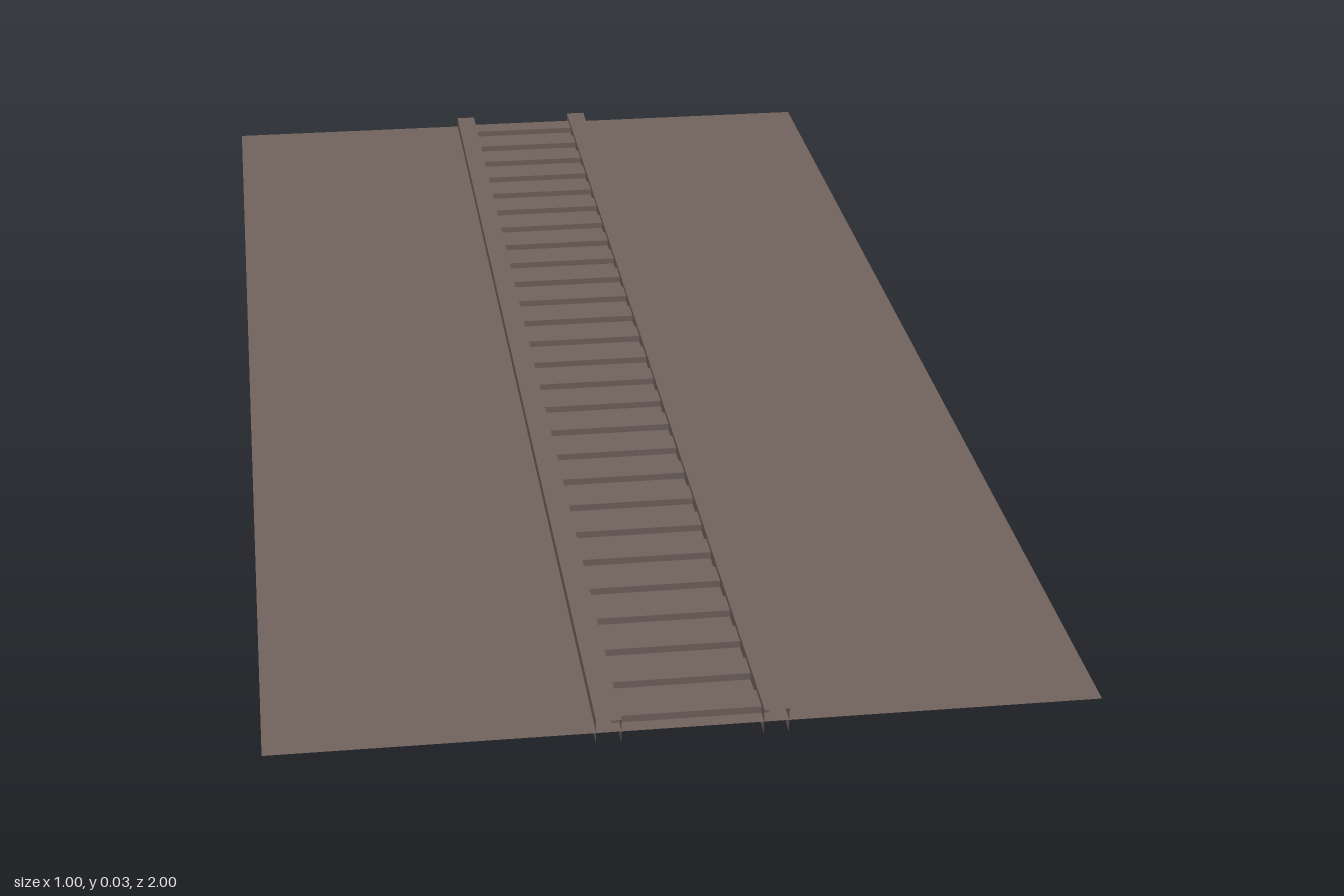
import * as THREE from 'three';

export function createModel() {
  const group = new THREE.Group();
  const brown = new THREE.MeshStandardMaterial({ color: 0x70625c, side: THREE.DoubleSide });
  brown.name = 'dull brown';

  const LENGTH = 2, HEIGHT = 0.032, RAIL_WIDTH = 0.03, CENTRE = 0.005, GAUGE = 0.2;

  function add(parent, name, geometry, x, y, z) {
    const mesh = new THREE.Mesh(geometry, brown);
    mesh.name = name;
    mesh.position.set(x, y, z);
    parent.add(mesh);
    return mesh;
  }

  // Flat track bed
  const bed = new THREE.PlaneGeometry(1, LENGTH).rotateX(-Math.PI / 2);
  add(group, 'trackBed', bed, 0, HEIGHT / 2, 0);

  // Rails: hollow channels, open at the ends and underneath
  const railTop = new THREE.PlaneGeometry(RAIL_WIDTH, LENGTH).rotateX(-Math.PI / 2);
  const railWall = new THREE.PlaneGeometry(LENGTH, HEIGHT).rotateY(Math.PI / 2);
  for (const side of [-1, 1]) {
    const rail = new THREE.Group();
    rail.name = side > 0 ? 'leftRail' : 'rightRail';
    rail.position.x = CENTRE + side * GAUGE / 2;
    add(rail, 'railTop', railTop, 0, HEIGHT, 0);
    add(rail, 'railWallLeft', railWall, RAIL_WIDTH / 2, HEIGHT / 2, 0);
    add(rail, 'railWallRight', railWall, -RAIL_WIDTH / 2, HEIGHT / 2, 0).rotation.y = Math.PI;
    group.add(rail);
  }

  // Sleepers evenly spaced between the rails
  const sleepers = new THREE.Group();
  sleepers.name = 'sleepers';
  const count = 27, pitch = LENGTH / count;
  const sleeper = new THREE.BoxGeometry(0.188, 0.0155, 0.036);
  for (let i = 0; i < count; i++) {
    add(sleepers, 'sleeper', sleeper, CENTRE, 0.0173, (i + 0.5) * pitch - LENGTH / 2);
  }
  group.add(sleepers);

  return group;
}
